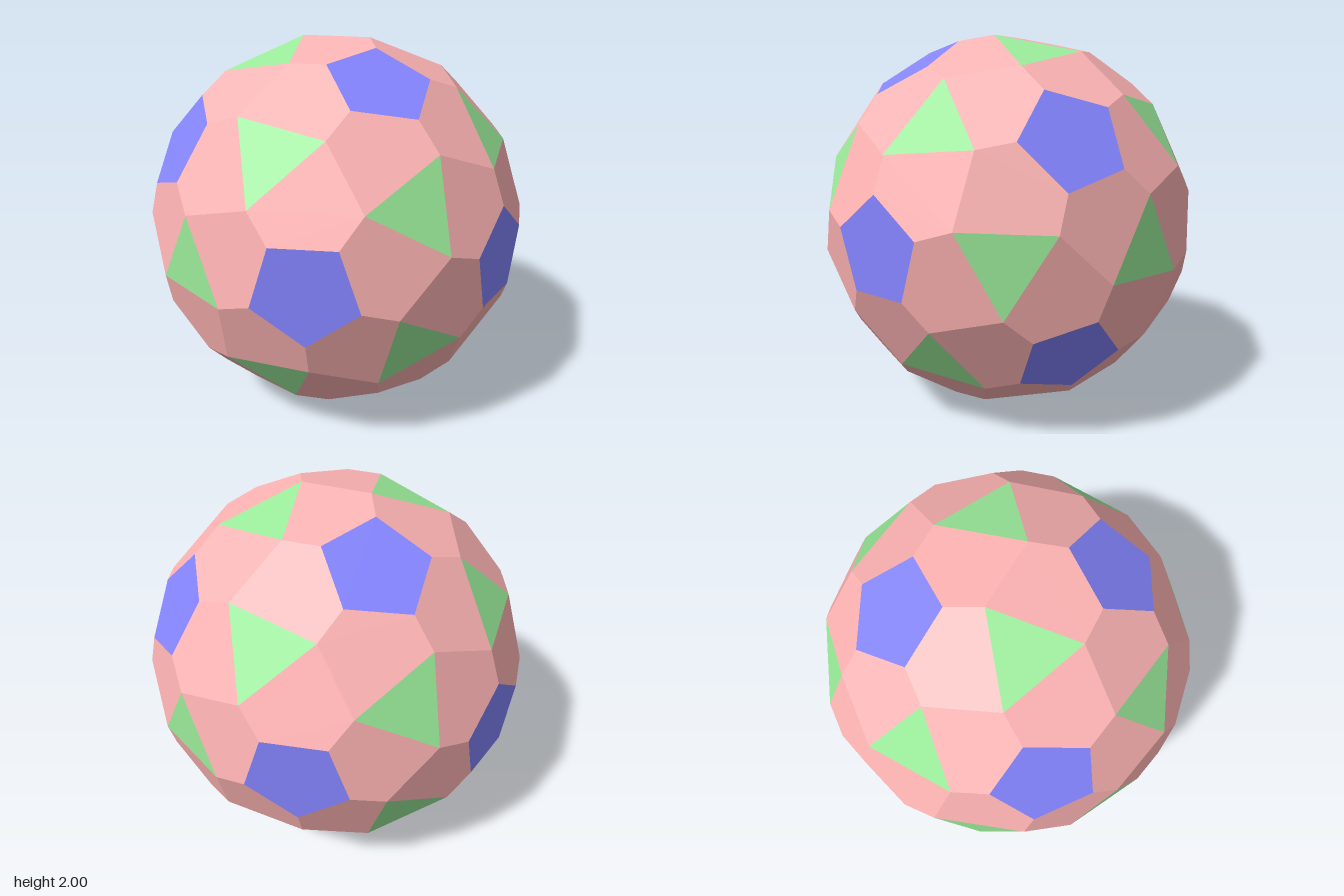
import * as THREE from 'three';

const V = (x, y, z) => new THREE.Vector3(x, y, z);

// The 60 rotations of the icosahedral group: 12 tetrahedral ones times 5 turns about a pentagon axis.
const pentAxis = V(1, 0, (1 + Math.sqrt(5)) / 2).normalize();
const turn = (axis, angle) => new THREE.Matrix4().makeRotationAxis(axis, angle);

function tetrahedralRotations() {
  const list = [];
  const diagonal = V(1, 1, 1).normalize();
  const flips = [[1, 1, 1], [1, -1, -1], [-1, 1, -1], [-1, -1, 1]];
  for (const f of flips) {
    for (let k = 0; k < 3; k++) {
      list.push(new THREE.Matrix4().makeScale(...f).multiply(turn(diagonal, k * Math.PI * 2 / 3)));
    }
  }
  return list;
}

const group60 = tetrahedralRotations().flatMap((t) =>
  [0, 1, 2, 3, 4].map((k) => t.clone().multiply(turn(pentAxis, k * Math.PI * 2 / 5))));

// Point shared by three planes, each given as normal n and distance d.
function meet(n1, d1, n2, d2, n3, d3) {
  const c23 = n2.clone().cross(n3), c31 = n3.clone().cross(n1), c12 = n1.clone().cross(n2);
  const det = n1.dot(c23);
  return c23.multiplyScalar(d1).addScaledVector(c31, d2).addScaledVector(c12, d3).divideScalar(det);
}

// Repeats one polygon over the whole symmetry group, skipping copies that coincide.
function orbitGeometry(polygon) {
  const seen = new Set();
  const positions = [];
  for (const m of group60) {
    const pts = polygon.map((p) => p.clone().applyMatrix4(m));
    const centre = pts.reduce((s, p) => s.add(p), V(0, 0, 0)).divideScalar(pts.length);
    const key = centre.toArray().map((v) => Math.round(v * 100) + 0).join();
    if (seen.has(key)) continue;
    seen.add(key);
    for (let i = 1; i < pts.length - 1; i++) {
      for (const p of [pts[0], pts[i], pts[i + 1]]) positions.push(p.x, p.y, p.z);
    }
  }
  const geometry = new THREE.BufferGeometry();
  geometry.setAttribute('position', new THREE.Float32BufferAttribute(positions, 3));
  geometry.computeVertexNormals();
  return geometry;
}

export function createModel() {
  const model = new THREE.Group();
  model.name = 'facetedBall';

  const fifth = turn(pentAxis, Math.PI * 2 / 5);
  const fifthBack = turn(pentAxis, -Math.PI * 2 / 5);

  // Triangle corners: one seed, its half-turn partner and its neighbour round the pentagon
  const b = V(0.125, 0.133, 1);
  const bOpposite = V(-b.x, -b.y, b.z);
  const bNext = b.clone().applyMatrix4(fifth);

  // Pentagon corners lie where two neighbouring side facets cut the pentagon plane
  const normal = bOpposite.clone().sub(b).cross(bNext.clone().sub(b)).normalize();
  const dist = normal.dot(b);
  const a = meet(normal, dist, normal.clone().applyMatrix4(fifthBack), dist, pentAxis, 0.981);
  const aNext = a.clone().applyMatrix4(fifth);

  const pentagon = [0, 1, 2, 3, 4].map((k) => a.clone().applyMatrix4(turn(pentAxis, k * Math.PI * 2 / 5)));
  const triAxis = V(0, 1, ((1 + Math.sqrt(5)) / 2) ** 2).normalize();
  const triangle = [0, 1, 2].map((k) => b.clone().applyMatrix4(turn(triAxis, k * Math.PI * 2 / 3)));

  const parts = [
    ['pentagonFacets', pentagon, 0x8484ff],
    ['triangleFacets', triangle, 0x9aeb9a],
    ['irregularFacets', [b, bOpposite, bNext, aNext, a], 0xffb4b4],
  ];
  for (const [name, polygon, color] of parts) {
    const mesh = new THREE.Mesh(orbitGeometry(polygon),
      new THREE.MeshStandardMaterial({ color, flatShading: true }));
    mesh.name = name;
    mesh.position.y = 1;
    model.add(mesh);
  }
  return model;
}
